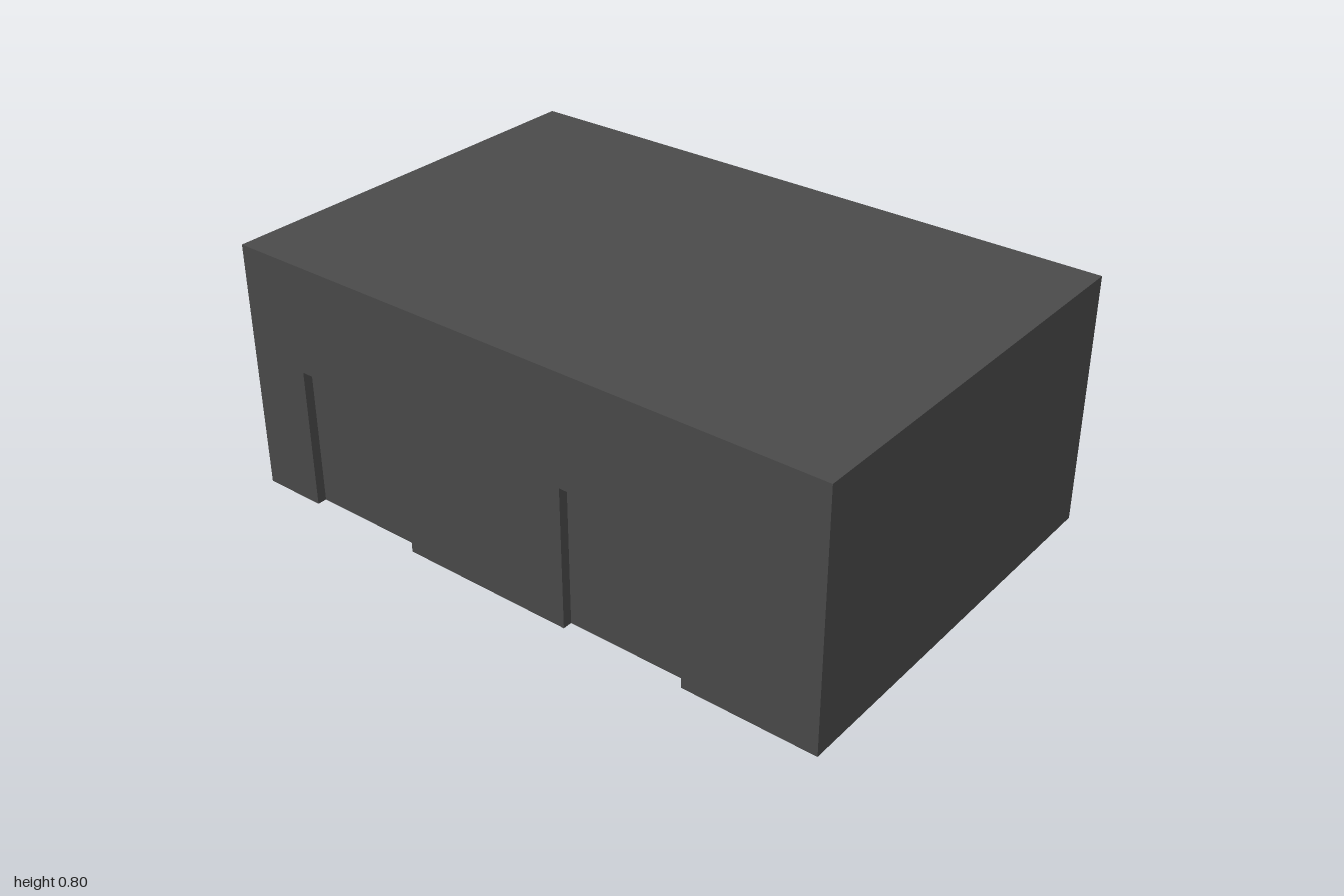
import * as THREE from 'three';

const W = 2, H = 0.795, D = 1.324;   // overall size
const DOOR_H = 0.45, RECESS = 0.03;
const DOORS = [[-0.795, -0.398], [0.178, 0.578]]; // left and right x of each doorway

export function createModel() {
  const model = new THREE.Group();
  model.name = 'building';
  const charcoal = new THREE.MeshStandardMaterial({ color: 0x4b4b4b });
  charcoal.name = 'charcoal';

  const add = (name, geometry, position, rotation = [0, 0, 0]) => {
    const mesh = new THREE.Mesh(geometry, charcoal);
    mesh.name = name;
    mesh.position.set(...position);
    mesh.rotation.set(...rotation);
    model.add(mesh);
  };
  const plane = (name, w, h, position, rotation) =>
    add(name, new THREE.PlaneGeometry(w, h), position, rotation);

  // Rectangle whose lower edge is notched at each doorway
  const notched = (bottom, top, notchTop) => {
    const shape = new THREE.Shape();
    shape.moveTo(-W / 2, bottom);
    for (const [a, b] of DOORS) {
      shape.lineTo(a, bottom);
      shape.lineTo(a, notchTop);
      shape.lineTo(b, notchTop);
      shape.lineTo(b, bottom);
    }
    shape.lineTo(W / 2, bottom);
    shape.lineTo(W / 2, top);
    shape.lineTo(-W / 2, top);
    shape.closePath();
    return new THREE.ShapeGeometry(shape);
  };

  // Outer shell
  const q = Math.PI / 2;
  add('frontWall', notched(0, H, DOOR_H), [0, 0, D / 2]);
  add('floor', notched(-D / 2, D / 2, -D / 2 + RECESS), [0, 0, 0], [q, 0, 0]);
  plane('roof', W, D, [0, H, 0], [-q, 0, 0]);
  plane('backWall', W, H, [0, H / 2, -D / 2], [0, Math.PI, 0]);
  plane('leftWall', D, H, [W / 2, H / 2, 0], [0, q, 0]);
  plane('rightWall', D, H, [-W / 2, H / 2, 0], [0, -q, 0]);

  // Recessed doors with jambs and lintel
  const z = D / 2 - RECESS / 2;
  for (const [a, b] of DOORS) {
    plane('door', b - a, DOOR_H, [(a + b) / 2, DOOR_H / 2, D / 2 - RECESS]);
    plane('doorJamb', RECESS, DOOR_H, [a, DOOR_H / 2, z], [0, q, 0]);
    plane('doorJamb', RECESS, DOOR_H, [b, DOOR_H / 2, z], [0, -q, 0]);
    plane('doorLintel', b - a, RECESS, [(a + b) / 2, DOOR_H, z], [q, 0, 0]);
  }
  // The floor plan is drawn with its notched edge at -y, so turn it to the front
  const floor = model.getObjectByName('floor');
  floor.geometry.scale(1, -1, 1);
  const index = floor.geometry.index.array;
  for (let i = 0; i < index.length; i += 3) [index[i], index[i + 1]] = [index[i + 1], index[i]];
  floor.geometry.computeVertexNormals();

  return model;
}
